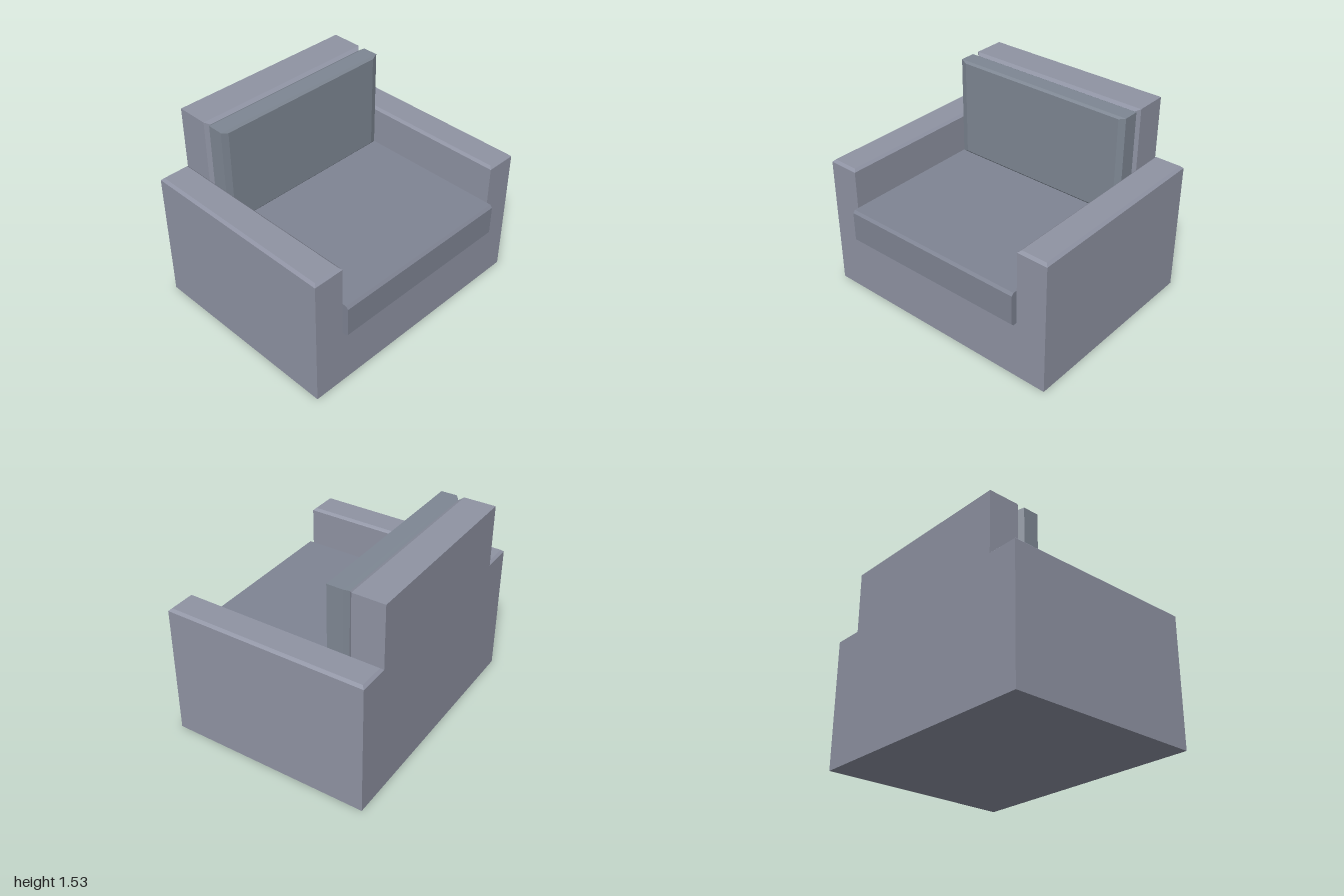
import * as THREE from 'three';

const upholstery = (color) => new THREE.MeshStandardMaterial({ color, flatShading: true });
const frameMaterial = upholstery(0x8f93a3);
const seatMaterial = upholstery(0x7f8493);
const backMaterial = upholstery(0x7e8793);

// Flat-faced solid through rectangular sections [t, aMin, aMax, bMin, bMax],
// placed at increasing t; toPoint maps (t, a, b) to a right-handed x, y, z.
function loft(name, material, sections, toPoint) {
  const rings = sections.map(([t, a0, a1, b0, b1]) =>
    [[a0, b0], [a1, b0], [a1, b1], [a0, b1]].map(([a, b]) => toPoint(t, a, b)));
  const positions = [];
  const quad = (a, b, c, d) => positions.push(...a, ...b, ...c, ...a, ...c, ...d);
  for (let i = 0; i < rings.length - 1; i++) {
    const p = rings[i], q = rings[i + 1];
    for (let j = 0; j < 4; j++) {
      const k = (j + 1) % 4;
      quad(p[j], p[k], q[k], q[j]);
    }
  }
  const first = rings[0], last = rings[rings.length - 1];
  quad(first[3], first[2], first[1], first[0]);
  quad(...last);
  const geometry = new THREE.BufferGeometry();
  geometry.setAttribute('position', new THREE.Float32BufferAttribute(positions, 3));
  geometry.computeVertexNormals();
  const mesh = new THREE.Mesh(geometry, material);
  mesh.name = name;
  return mesh;
}

const alongX = (t, a, b) => [t, a, b]; // a = y, b = z
const alongY = (t, a, b) => [b, t, a]; // a = z, b = x

export function createModel() {
  const group = new THREE.Group();
  group.name = 'armchair';
  const w = 0.757; // half width between the arms

  // Base under the seat
  const base = new THREE.Mesh(new THREE.BoxGeometry(1.586, 0.468, 2 * w), frameMaterial);
  base.position.set(-0.025, 0.234, 0);
  base.name = 'base';
  group.add(base);

  // Armrests with bevelled tops
  for (const side of [1, -1]) {
    const c = side * (1 + w) / 2, h = (1 - w) / 2;
    group.add(loft(side > 0 ? 'armrestFront' : 'armrestRear', frameMaterial, [
      [0, c - h, c + h, -0.818, 0.768],
      [1.038, c - h, c + h, -0.818, 0.768],
      [1.057, c - h + 0.02, c + h - 0.02, -0.798, 0.748],
    ], alongY));
  }

  // Seat cushion, chamfered along its projecting edge
  group.add(loft('seatCushion', seatMaterial, [
    [-0.56, 0.468, 0.738, -w, w],
    [0.8, 0.468, 0.738, -w, w],
    [0.818, 0.486, 0.718, -w, w],
  ], alongX));

  // Backrest frame, chamfered towards the cushion
  group.add(loft('backrest', frameMaterial, [
    [-0.818, 0.4, 1.53, -w, w],
    [-0.568, 0.4, 1.53, -w, w],
    [-0.538, 0.4, 1.513, -w + 0.032, w - 0.032],
  ], alongX));

  // Back cushion, chamfered on both faces
  group.add(loft('backCushion', backMaterial, [
    [-0.538, 0.75, 1.513, -w + 0.032, w - 0.032],
    [-0.508, 0.733, 1.53, -w, w],
    [-0.383, 0.733, 1.53, -w, w],
    [-0.368, 0.752, 1.513, -w + 0.052, w - 0.052],
  ], alongX));

  return group;
}
